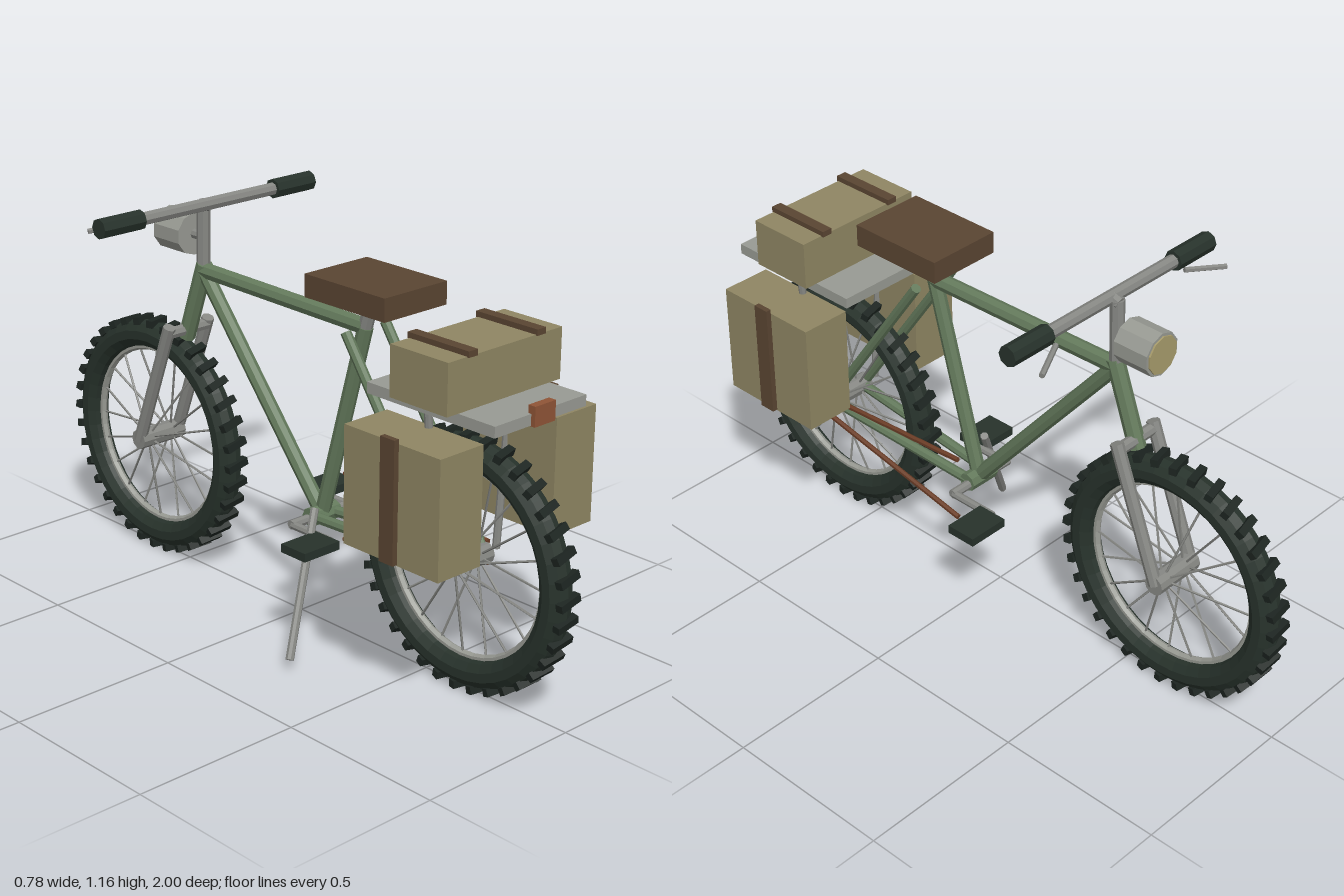
import * as THREE from 'three';

const mat = (name, color) => {
  const m = new THREE.MeshStandardMaterial({ color, flatShading: true });
  m.name = name;
  return m;
};

export function createModel() {
  const frameGreen = mat('frame green', 0x647a5c);
  const rubber = mat('tyre rubber', 0x27322b);
  const tread = mat('tread black', 0x1d2521);
  const steel = mat('steel', 0x868783);
  const rackGrey = mat('rack grey', 0x989a93);
  const canvas = mat('khaki canvas', 0x8f8663);
  const leather = mat('brown leather', 0x5a4532);
  const rust = mat('rusty chain', 0x6b3d26);
  const lampRed = mat('tail lamp', 0x8f5436);
  const lens = mat('lamp lens', 0xa89c6c);

  const bike = new THREE.Group();
  bike.name = 'bicycle';

  const add = (name, geo, material, pos = [0, 0, 0], parent = bike) => {
    const mesh = new THREE.Mesh(geo, material);
    mesh.name = name;
    mesh.position.set(...pos);
    parent.add(mesh);
    return mesh;
  };
  // Box given by its lower and upper corners
  const block = (name, material, a, b) => add(name,
    new THREE.BoxGeometry(b[0] - a[0], b[1] - a[1], b[2] - a[2]), material,
    a.map((v, i) => (v + b[i]) / 2));
  // Round bar between two points
  const UP = new THREE.Vector3(0, 1, 0);
  const bar = (name, material, a, b, r, sides = 8, parent = bike) => {
    const p = new THREE.Vector3(...a), q = new THREE.Vector3(...b);
    const d = q.clone().sub(p);
    const mesh = add(name, new THREE.CylinderGeometry(r, r, d.length(), sides), material,
      p.clone().add(q).multiplyScalar(0.5).toArray(), parent);
    mesh.quaternion.setFromUnitVectors(UP, d.normalize());
    return mesh;
  };

  // Wheels, built in the yz plane around their own hub
  const AXLE = 0.367, RZ = 0.635;
  const makeWheel = (name, z) => {
    const wheel = new THREE.Group();
    wheel.name = name;
    wheel.position.set(0, AXLE, z);
    bike.add(wheel);
    add('tyre', new THREE.TorusGeometry(0.313, 0.042, 10, 40), rubber, [0, 0, 0], wheel).rotation.y = Math.PI / 2;
    add('rim', new THREE.TorusGeometry(0.272, 0.012, 6, 40), rackGrey, [0, 0, 0], wheel).rotation.y = Math.PI / 2;
    bar('hub', steel, [-0.08, 0, 0], [0.08, 0, 0], 0.03, 10, wheel);
    const lugGeo = new THREE.BoxGeometry(0.072, 0.022, 0.022);
    lugGeo.rotateY(0.22);
    const LUGS = 36, SPOKES = 20;
    for (let i = 0; i < LUGS; i++) {
      const a = (i / LUGS) * Math.PI * 2;
      add('treadLug', lugGeo, tread, [0, Math.cos(a) * 0.354, Math.sin(a) * 0.354], wheel).rotation.x = a;
    }
    for (let i = 0; i < SPOKES; i++) {
      const a = (i / SPOKES) * Math.PI * 2, c = Math.cos(a), s = Math.sin(a);
      const x = i % 2 ? 0.04 : -0.04;
      bar('spoke', steel, [x, c * 0.02, s * 0.02], [0, c * 0.27, s * 0.27], 0.0035, 5, wheel);
    }
  };
  makeWheel('rearWheel', RZ);
  makeWheel('frontWheel', -RZ);

  // Frame
  const seatTop = [0, 0.92, 0.25], head = [0, 0.93, -0.415], crank = [0, 0.33, 0.085];
  bar('topTube', frameGreen, seatTop, head, 0.024);
  bar('downTube', frameGreen, head, crank, 0.022);
  bar('seatTube', frameGreen, seatTop, crank, 0.022);
  bar('headTube', frameGreen, [0, 0.95, -0.408], [0, 0.71, -0.495], 0.025);
  bar('bottomBracket', frameGreen, [-0.05, 0.33, 0.085], [0.05, 0.33, 0.085], 0.028);
  bar('forkCrown', steel, [-0.073, 0.735, -0.49], [0.073, 0.735, -0.49], 0.018);

  for (const s of [-1, 1]) {
    bar('seatStay', frameGreen, [s * 0.073, AXLE, RZ], [s * 0.073, 0.92, 0.25], 0.015);
    bar('chainStay', frameGreen, [s * 0.06, AXLE, RZ], [s * 0.035, 0.33, 0.085], 0.016);
    bar('forkLeg', steel, [s * 0.073, 0.755, -0.485], [s * 0.073, AXLE, -RZ], 0.019);
    bar('rackStrut', steel, [s * 0.155, 0.825, RZ], [s * 0.117, AXLE, RZ], 0.011);

    // Crank arm and pedal, opposite on each side
    const dir = -s;
    bar('crankArm', steel, [s * 0.107, 0.323, 0.08], [s * 0.107, 0.323, 0.08 + dir * 0.15], 0.012);
    const pz = 0.075 + dir * 0.145;
    block('pedal', rubber, [s * 0.172 - 0.064, 0.31, pz - 0.047], [s * 0.172 + 0.064, 0.335, pz + 0.047]);

    // Handlebar grip and brake lever
    bar('grip', rubber, [s * 0.245, 1.13, -0.39], [s * 0.39, 1.13, -0.39], 0.029);
    bar('brakeLever', steel, [s * 0.25, 1.115, -0.425], [s * 0.36, 1.1, -0.478], 0.008, 6);

    // Pannier with its strap, and the strap of the top bag
    const x = (a, b) => (s > 0 ? [a, b] : [-b, -a]);
    const [p0, p1] = x(0.137, 0.29), [q0, q1] = x(0.29, 0.306), [t0, t1] = x(0.11, 0.142);
    block('pannier', canvas, [p0, 0.45, 0.472], [p1, 0.78, 0.81]);
    block('pannierStrap', leather, [q0, 0.453, 0.617], [q1, 0.793, 0.667]);
    block('topBagStrap', leather, [t0, 0.993, 0.545], [t1, 1.01, 0.757]);
  }
  bar('crankSpindle', steel, [-0.115, 0.325, 0.08], [0.115, 0.325, 0.08], 0.014);

  // Steering
  bar('stem', steel, [0, 0.93, -0.415], [0, 1.13, -0.41], 0.02);
  bar('stemClamp', steel, [0, 1.12, -0.42], [0, 1.13, -0.385], 0.019);
  bar('handlebar', steel, [-0.3, 1.13, -0.39], [0.3, 1.13, -0.39], 0.019);

  // Headlight facing forward
  bar('headlight', rackGrey, [0, 1.03, -0.452], [0, 1.03, -0.562], 0.063, 10);
  bar('headlightLens', lens, [0, 1.03, -0.56], [0, 1.03, -0.567], 0.055, 10);
  bar('headlightBracket', steel, [0, 1.03, -0.41], [0, 1.03, -0.46], 0.015);

  // Saddle
  bar('seatPost', steel, seatTop, [0, 1.01, 0.277], 0.02);
  block('saddle', leather, [-0.115, 1.0, 0.135], [0.115, 1.065, 0.435]);

  // Luggage rack, top bag, tail lamp
  block('rack', rackGrey, [-0.17, 0.822, 0.43], [0.17, 0.853, 0.875]);
  block('topBag', canvas, [-0.21, 0.853, 0.552], [0.21, 0.995, 0.752]);
  block('tailLamp', lampRed, [-0.038, 0.82, 0.865], [0.038, 0.875, 0.888]);

  // Chain runs and kickstand
  bar('chainUpper', rust, [0.086, 0.395, RZ], [0.086, 0.428, 0.085], 0.008, 6);
  bar('chainLower', rust, [0.086, 0.335, RZ], [0.086, 0.226, 0.085], 0.008, 6);
  bar('kickstand', steel, [-0.09, 0.39, 0.15], [-0.29, 0.037, 0.265], 0.012);

  return bike;
}
